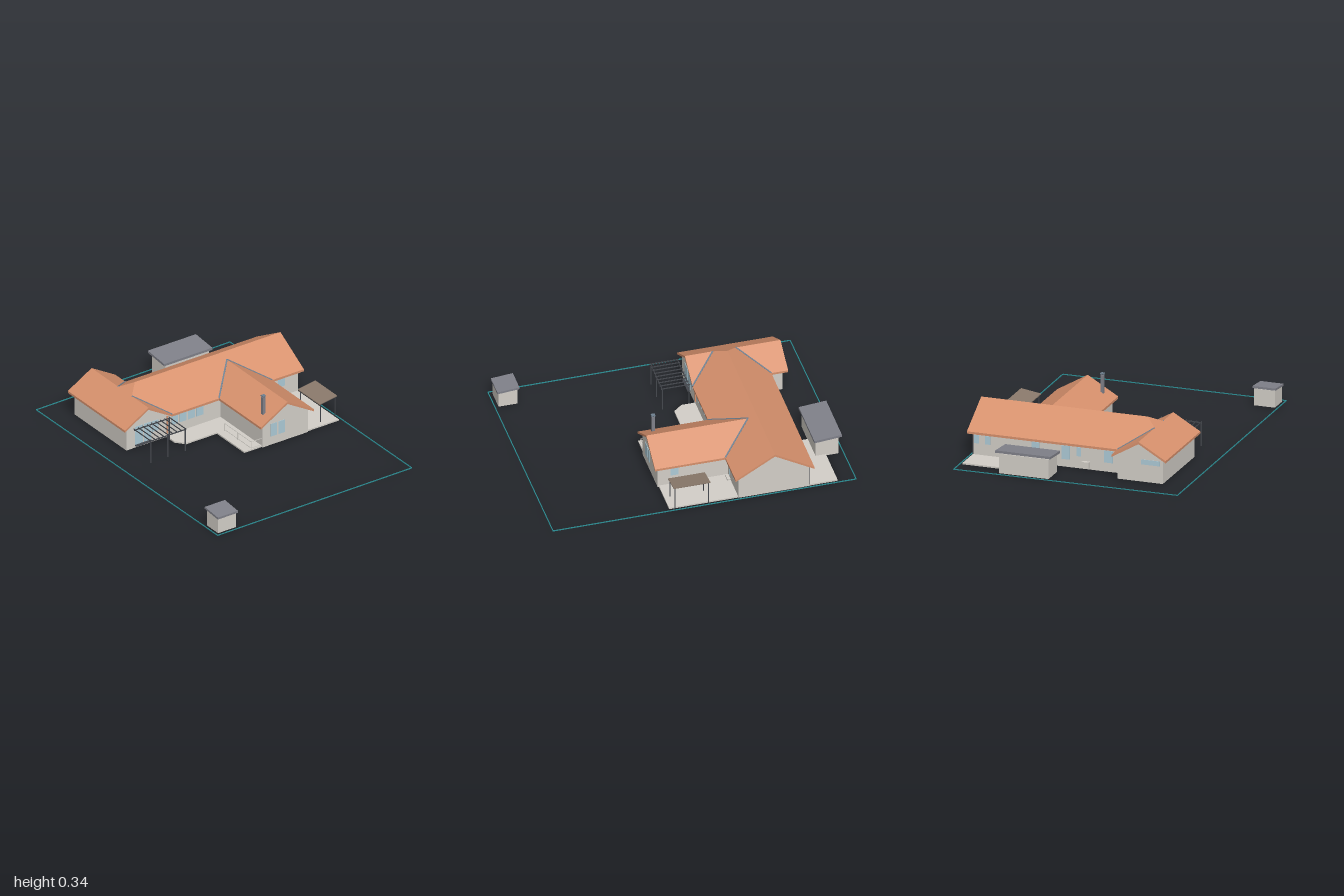
import * as THREE from 'three';

const mat = (name, color) => {
  const m = new THREE.MeshStandardMaterial({ color });
  m.name = name;
  return m;
};

export function createModel() {
  const M = {
    tile: mat('terracotta tile', 0xd7916d),
    wall: mat('pale render', 0xd3cfc8),
    slate: mat('slate sheet', 0x80818a),
    metal: mat('dark metal', 0x45484e),
    canopy: mat('brown canopy', 0x8b7a6c),
    glass: mat('window glass', 0xadcbd7),
    line: mat('boundary teal', 0x2a8a90),
    lead: mat('valley lead', 0x6f8090),
  };
  const root = new THREE.Group();
  root.name = 'bungalow';

  const add = (name, geo, m) => {
    const mesh = new THREE.Mesh(geo, m);
    mesh.name = name;
    root.add(mesh);
    return mesh;
  };
  // Box given by its lower and upper limits
  const box = (name, m, x0, x1, y0, y1, z0, z1) =>
    add(name, new THREE.BoxGeometry(x1 - x0, y1 - y0, z1 - z0), m)
      .position.set((x0 + x1) / 2, (y0 + y1) / 2, (z0 + z1) / 2);
  // Square bar between two points
  const bar = (name, m, a, b, w, h = w) => {
    const p = new THREE.Vector3(...a), q = new THREE.Vector3(...b);
    const mesh = add(name, new THREE.BoxGeometry(w, h, p.distanceTo(q)), m);
    mesh.position.copy(p).lerp(q, 0.5);
    mesh.lookAt(q);
  };
  // Slab with an [x, z] outline whose top follows a height rule
  const slab = (name, m, pts, height, t) => {
    const shape = new THREE.Shape(pts.map(([x, z]) => new THREE.Vector2(x, -z)));
    const geo = new THREE.ExtrudeGeometry(shape, { depth: t, bevelEnabled: false });
    geo.rotateX(-Math.PI / 2);
    const p = geo.attributes.position;
    for (let i = 0; i < p.count; i++) p.setY(i, p.getY(i) - t + height(p.getX(i), p.getZ(i)));
    geo.computeVertexNormals();
    add(name, geo, m);
  };
  const rect = (x0, x1, z0, z1) => [[x0, z0], [x1, z0], [x1, z1], [x0, z1]];

  // Roof planes: eaves at E, one pitch K
  const E = 0.165, K = 0.583, T = 0.015;
  const R = -0.4625, ridge = E + K * 0.2575;
  const WX = -0.4375, wingRidge = E + K * 0.1825;
  const FX = 0.31, frontRidge = E + K * 0.205;
  const hipX = -0.62 + (ridge - E) / K;
  const vz = (ridge - wingRidge) / K;
  const fz = R + (ridge - frontRidge) / K;
  const hMain = (x, z) => ridge - K * Math.abs(z - R);
  const hWest = (x) => E + K * (x + 0.62);
  const hEast = (x) => wingRidge - K * (x - WX);
  const hFront = (x) => frontRidge - K * Math.abs(x - FX);

  slab('mainRoofBack', M.tile, [[0.758, -0.72], [0.758, R], [hipX, R], [WX, R - vz], [-0.255, -0.72]], hMain, T);
  slab('mainRoofFront', M.tile, [[0.758, -0.205], [0.758, R], [hipX, R], [WX, R + vz], [-0.255, -0.205],
    [0.105, -0.205], [FX, fz], [0.515, -0.205]], hMain, T);
  slab('sideWingRoofOuter', M.tile, [[-0.62, -0.83], [-0.62, -0.205], [WX, -0.205], [WX, R + vz], [hipX, R],
    [WX, R - vz], [WX, -0.83]], hWest, T);
  slab('sideWingRoofFront', M.tile, [[WX, -0.205], [WX, R + vz], [-0.255, -0.205]], hEast, T);
  slab('sideWingRoofBack', M.tile, [[WX, -0.83], [WX, R - vz], [-0.255, -0.72], [-0.255, -0.83]], hEast, T);
  for (const ex of [0.105, 0.515])
    slab('frontWingRoof', M.tile, [[ex, 0.255], [FX, 0.255], [FX, fz], [ex, -0.205]], hFront, T);

  // Valley flashings
  const valley = (x0, z0, x1, z1) =>
    bar('valleyFlashing', M.lead, [x0, hMain(x0, z0) + 0.001, z0], [x1, hMain(x1, z1) + 0.001, z1], 0.01, 0.005);
  valley(-0.255, -0.205, WX, R + vz);
  valley(-0.255, -0.72, WX, R - vz);
  valley(0.105, -0.205, FX, fz);
  valley(0.515, -0.205, FX, fz);

  // Gabled wall blocks: half width w, roof peak, extruded from a to b
  const gable = (name, w, peak, a, b) => {
    const top = peak - T - 0.001, e = top - K * w;
    const s = new THREE.Shape([[-w, 0], [w, 0], [w, e], [0, top], [-w, e]].map((p) => new THREE.Vector2(...p)));
    const geo = new THREE.ExtrudeGeometry(s, { depth: b - a, bevelEnabled: false });
    geo.translate(0, 0, a);
    return add(name, geo, M.wall);
  };
  const main = gable('mainWalls', 0.2325, ridge, hipX, 0.73);
  main.rotation.y = Math.PI / 2;
  main.position.z = R;
  gable('sideWingWalls', 0.1525, wingRidge, -0.8, -0.23).position.x = WX;
  gable('frontWingWalls', 0.175, frontRidge, -0.35, 0.23).position.x = FX;

  // Paving
  const flat = () => 0.01;
  slab('sidePaving', M.wall, rect(0.485, 0.727, -0.23, 0.222), flat, 0.01);
  slab('backPaving', M.wall, rect(0.27, 0.727, -0.88, -0.69), flat, 0.01);
  slab('frontPaving', M.wall, [[-0.285, -0.23], [0.135, -0.23], [0.135, 0.222], [0, 0.222], [0, -0.08],
    [-0.235, -0.08], [-0.285, -0.14]], flat, 0.01);
  box('doorStep', M.metal, -0.525, -0.4, 0.014, 0.02, -0.23, -0.212);
  box('sideStep', M.wall, 0.5, 0.55, 0.01, 0.019, -0.23, -0.208);

  // Windows and doors as thin plates: face z, then [x0, x1, y0, y1]
  const panes = (z, list) => list.forEach(([x0, x1, y0, y1]) =>
    box('window', M.glass, x0, x1, y0, y1, z - 0.003, z + 0.003));
  panes(-0.23, [[-0.525, -0.466, 0.022, 0.15], [-0.456, -0.4, 0.022, 0.15], [-0.393, -0.347, 0.072, 0.148],
    [-0.243, -0.195, 0.074, 0.14], [-0.18, -0.131, 0.074, 0.14], [-0.118, -0.066, 0.074, 0.14],
    [-0.053, -0.001, 0.074, 0.14], [0.52, 0.532, 0.035, 0.14], [0.575, 0.628, 0.08, 0.14]]);
  panes(0.23, [[0.197, 0.246, 0.06, 0.15], [0.256, 0.304, 0.06, 0.15]]);
  panes(-0.695, [[-0.215, -0.155, 0.06, 0.14], [0.0, 0.03, 0.08, 0.14], [0.075, 0.13, 0.05, 0.14],
    [0.28, 0.33, 0.085, 0.14], [0.61, 0.645, 0.085, 0.14], [0.685, 0.72, 0.085, 0.14]]);
  panes(-0.8, [[-0.57, -0.445, 0.115, 0.148]]);
  box('sideWindow', M.glass, 0.482, 0.488, 0.075, 0.145, 0.094, 0.147);
  box('entrancePanel', M.tile, -0.281, -0.271, 0.025, 0.15, -0.233, -0.226);

  // Flue with cap
  box('flue', M.slate, 0.17, 0.19, 0.18, 0.325, 0.165, 0.185);
  box('flueNeck', M.metal, 0.174, 0.186, 0.325, 0.331, 0.169, 0.181);
  box('flueCap', M.lead, 0.168, 0.192, 0.331, 0.338, 0.163, 0.187);

  // Slatted pergola
  for (const z of [-0.19, -0.015]) box('pergolaBeam', M.metal, -0.56, -0.283, 0.151, 0.158, z - 0.002, z + 0.002);
  for (let i = 0; i < 9; i++) {
    const x = -0.556 + i * 0.0337;
    box('pergolaSlat', M.metal, x - 0.0015, x + 0.0015, 0.156, 0.163, -0.197, -0.007);
  }
  for (const [x, z] of [[-0.555, -0.015], [-0.422, -0.015], [-0.287, -0.015], [-0.287, -0.19]])
    box('pergolaPost', M.metal, x - 0.0033, x + 0.0033, 0, 0.152, z - 0.0033, z + 0.0033);

  // Sloping canopy on posts
  const hCan = (x) => 0.145 + 0.15 * (x - 0.6);
  slab('canopyRoof', M.canopy, rect(0.6, 0.735, -0.047, 0.193), hCan, 0.006);
  for (const x of [0.612, 0.726]) for (const z of [-0.036, 0.184])
    box('canopyPost', M.metal, x - 0.0025, x + 0.0025, 0, hCan(x) - 0.004, z - 0.0025, z + 0.0025);

  // Terrace railing
  const rail = [[0.133, 0.22], [0.055, 0.22], [0.055, 0.075], [0.055, -0.07]];
  rail.forEach(([x, z], i) => {
    box('railPost', M.wall, x - 0.0015, x + 0.0015, 0.01, 0.062, z - 0.0015, z + 0.0015);
    if (!i) return;
    const [px, pz] = rail[i - 1];
    for (const y of [0.018, 0.062]) bar('rail', M.wall, [px, y, pz], [x, y, z], 0.003);
  });

  // Outdoor unit and downpipe on the back wall
  box('outdoorUnit', M.wall, -0.063, -0.015, 0.012, 0.055, -0.725, -0.7);
  box('downpipe', M.metal, 0.724, 0.729, 0.01, 0.16, -0.7, -0.695);

  // Two sheds with sloping roofs
  box('backShedWalls', M.wall, 0.118, 0.452, 0, 0.13, -0.962, -0.812);
  slab('backShedRoof', M.slate, rect(0.1, 0.47, -0.98, -0.8), (x, z) => 0.14 - 0.085 * (z + 0.8), 0.016);
  box('gardenShedWalls', M.wall, -0.727, -0.588, 0, 0.112, 0.848, 0.972);
  slab('gardenShedRoof', M.slate, rect(-0.735, -0.58, 0.837, 0.981), (x, z) => 0.131 - 0.085 * (z - 0.837), 0.014);

  // Plot boundary
  const plot = [[-0.757, -0.982], [0.743, -0.997], [0.752, 0.988], [-0.748, 0.997]];
  plot.forEach(([x, z], i) => {
    const [nx, nz] = plot[(i + 1) % 4];
    bar('boundary', M.line, [x, 0.0025, z], [nx, 0.0025, nz], 0.006, 0.005);
  });
  return root;
}
